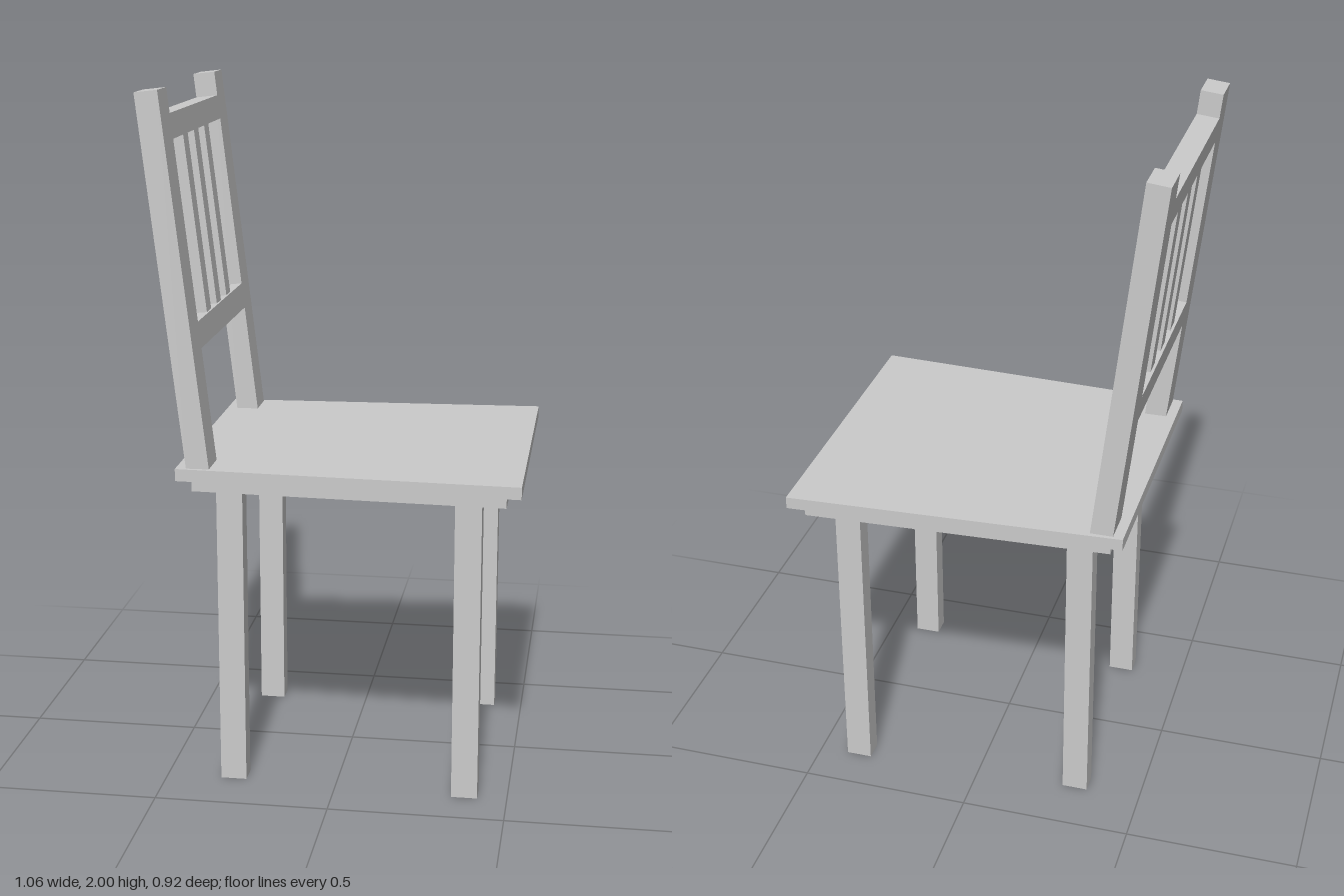
import * as THREE from 'three';

const material = new THREE.MeshStandardMaterial({ color: 0xcccccc, flatShading: true });

// Box given by its minimum and maximum corners
function box(name, [x0, y0, z0], [x1, y1, z1]) {
  const geometry = new THREE.BoxGeometry(x1 - x0, y1 - y0, z1 - z0);
  geometry.translate((x0 + x1) / 2, (y0 + y1) / 2, (z0 + z1) / 2);
  const mesh = new THREE.Mesh(geometry, material);
  mesh.name = name;
  return mesh;
}

// Trapezoid outline, narrower at the back (-x)
function trapezoid(backX, frontX, backZ, frontZ) {
  return [[backX, -backZ], [frontX, -frontZ], [frontX, frontZ], [backX, backZ]]
    .map(([x, z]) => new THREE.Vector2(x, z));
}

// Horizontal slab from an outline, optionally with a hole
function slab(name, y0, y1, outline, hole) {
  const shape = new THREE.Shape(outline);
  if (hole) shape.holes.push(new THREE.Path(hole));
  const geometry = new THREE.ExtrudeGeometry(shape, { depth: y1 - y0, bevelEnabled: false });
  geometry.rotateX(-Math.PI / 2).translate(0, y0, 0);
  const mesh = new THREE.Mesh(geometry, material);
  mesh.name = name;
  return mesh;
}

export function createModel() {
  const chair = new THREE.Group();
  chair.name = 'chair';

  // Seat board and the open apron frame beneath it
  chair.add(slab('seat', 0.924, 0.959, trapezoid(-0.44, 0.527, 0.413, 0.458)));
  chair.add(slab('apron', 0.888, 0.924,
    trapezoid(-0.4, 0.485, 0.385, 0.425),
    trapezoid(-0.34, 0.415, 0.338, 0.373)));

  // Legs in the inner corners of the apron
  for (const side of [1, -1]) {
    const name = side > 0 ? 'Left' : 'Right';
    const leg = (part, x0, x1, zIn, zOut) => chair.add(box(part + name,
      [x0, 0, Math.min(side * zIn, side * zOut)],
      [x1, 0.924, Math.max(side * zIn, side * zOut)]));
    leg('frontLeg', 0.34, 0.415, 0.313, 0.372);
    leg('backLeg', -0.34, -0.265, 0.282, 0.34);
  }

  // Backrest, leaning backwards about the front foot of its posts
  const back = new THREE.Group();
  back.name = 'backrest';
  back.position.set(-0.345, 0.959, 0);
  back.rotation.z = 0.1147;
  const depth = 0.065;
  back.add(box('postLeft', [-depth, -0.015, 0.302], [0, 1.048, 0.404]));
  back.add(box('postRight', [-depth, -0.015, -0.404], [0, 1.048, -0.302]));
  back.add(box('topRail', [-depth, 0.908, -0.302], [0, 0.978, 0.302]));
  back.add(box('lowerRail', [-depth, 0.324, -0.302], [0, 0.4, 0.302]));
  for (const z of [-0.133, 0, 0.133]) {
    back.add(box('slat', [-0.057, 0.4, z - 0.028], [-0.006, 0.908, z + 0.028]));
  }
  chair.add(back);

  return chair;
}
